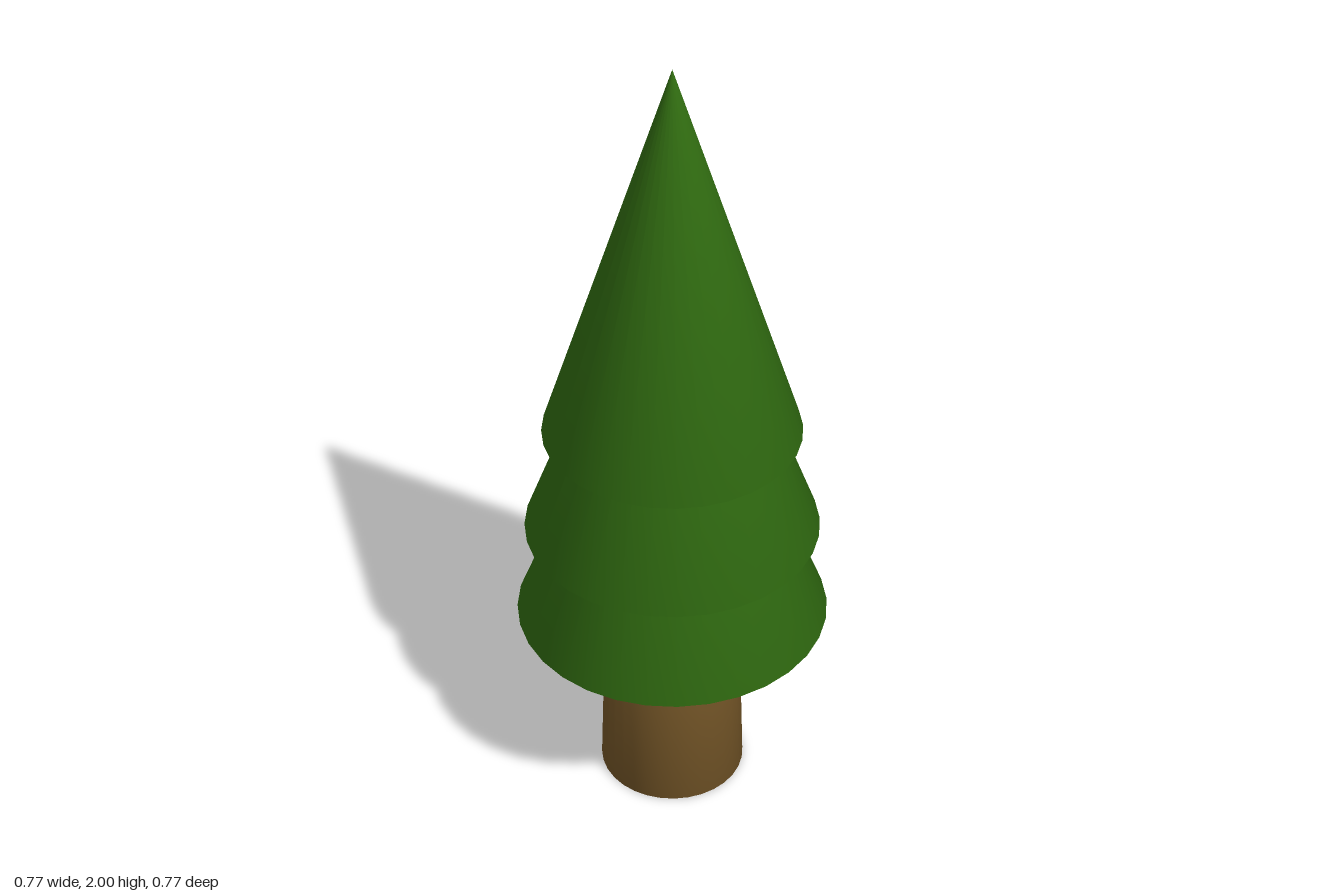
import * as THREE from 'three';

const SEGMENTS = 32;

// Closed solid of revolution from [radius, height] points, bottom to top
function turned(name, profile, material) {
  const points = profile.map(([r, y]) => new THREE.Vector2(r, y));
  const mesh = new THREE.Mesh(new THREE.LatheGeometry(points, SEGMENTS), material);
  mesh.name = name;
  return mesh;
}

export function createModel() {
  const tree = new THREE.Group();
  tree.name = 'pineTree';
  const bark = new THREE.MeshStandardMaterial({ color: 0x765728 });
  const needles = new THREE.MeshStandardMaterial({ color: 0x316d11 });

  // Slightly tapered trunk, its top sunk into the lowest tier
  tree.add(turned('trunk', [[0, 0], [0.183, 0], [0.163, 0.6], [0, 0.6]], bark));

  // Overlapping cones: [name, radius, base height, tip height]
  const tiers = [
    ['lowerBranches', 0.385, 0.505, 1.48],
    ['middleBranches', 0.359, 0.763, 1.71],
    ['upperBranches', 0.31, 1.045, 2],
  ];
  for (const [name, radius, base, tip] of tiers) {
    tree.add(turned(name, [[0, base], [radius, base], [0, tip]], needles));
  }
  return tree;
}
